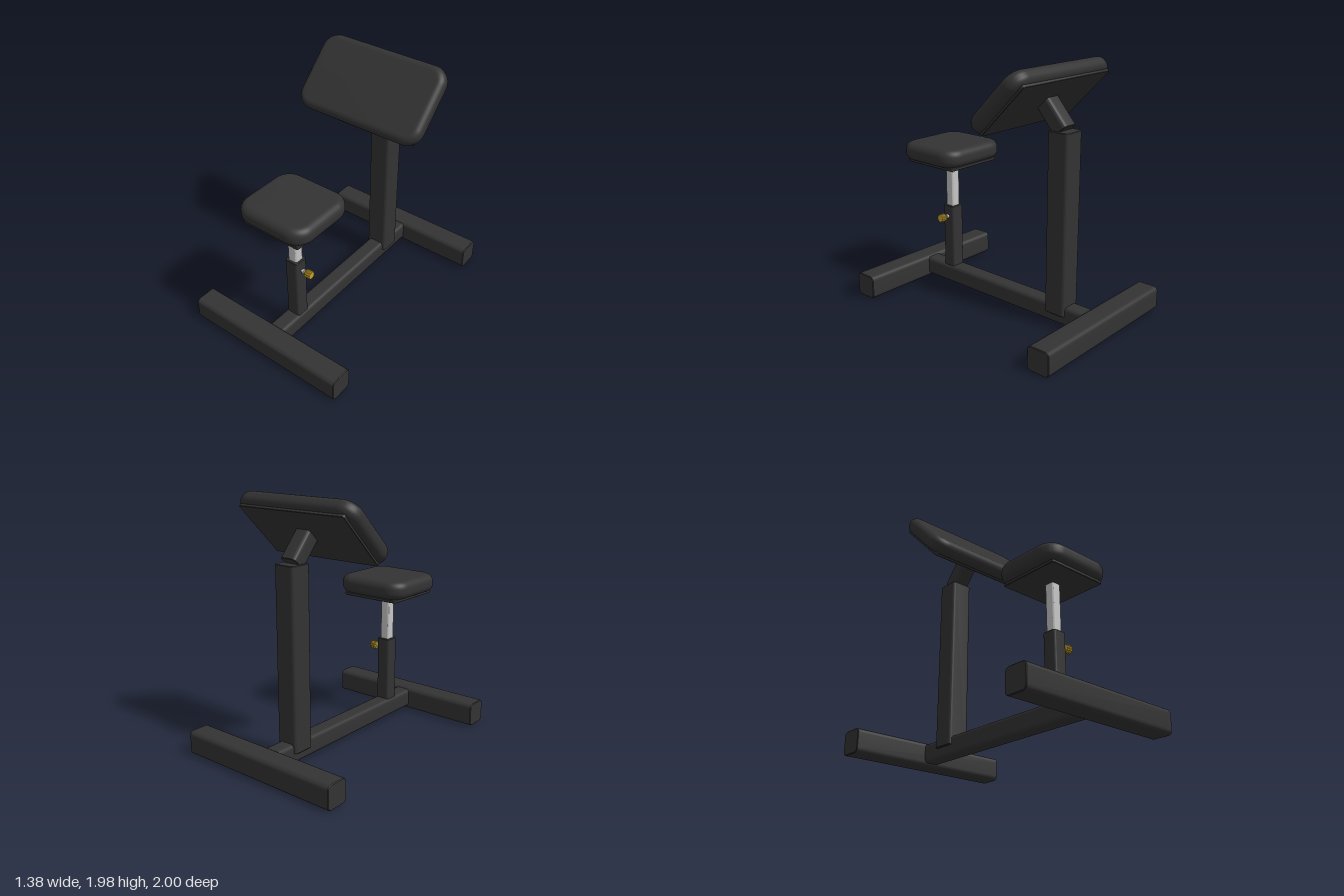
import * as THREE from 'three';
import { mergeVertices, toCreasedNormals } from 'three/addons/utils/BufferGeometryUtils.js';

const material = (name, color) => {
  const m = new THREE.MeshStandardMaterial({ color });
  m.name = name;
  return m;
};

// Rectangle with rounded corners, centred on the origin
function roundedRect(w, h, r) {
  const x = w / 2, y = h / 2, q = Math.PI / 2, s = new THREE.Shape();
  s.moveTo(-x + r, -y);
  s.lineTo(x - r, -y);
  s.absarc(x - r, -y + r, r, -q, 0);
  s.lineTo(x, y - r);
  s.absarc(x - r, y - r, r, 0, q);
  s.lineTo(-x + r, y);
  s.absarc(-x + r, y - r, r, q, 2 * q);
  s.lineTo(-x, -y + r);
  s.absarc(-x + r, -y + r, r, 2 * q, 3 * q);
  return s;
}

// Rounded bar or slab, w by h, running along z for length, with rounded end edges
function slab(w, h, length, corner, edge, edgeSegments = 1, curveSegments = 6) {
  let g = new THREE.ExtrudeGeometry(roundedRect(w, h, corner), {
    depth: length - 2 * edge, bevelEnabled: true, bevelThickness: edge,
    bevelSize: edge, bevelOffset: -edge, bevelSegments: edgeSegments, curveSegments,
  });
  g.translate(0, 0, edge - length / 2);
  g.deleteAttribute('uv');
  g.deleteAttribute('normal');
  g = mergeVertices(g, 1e-5);
  return toCreasedNormals(g, 0.6);
}

export function createModel() {
  const model = new THREE.Group();
  model.name = 'preacherCurlBench';
  const black = material('black', 0x333333);
  const steel = material('brightSteel', 0xc6c6c6);
  const brass = material('brass', 0xc9a227);

  const add = (name, geometry, mat, x, y, z, rx = 0, ry = 0, parent = model) => {
    const mesh = new THREE.Mesh(geometry, mat);
    mesh.name = name;
    mesh.position.set(x, y, z);
    mesh.rotation.set(rx, ry, 0);
    parent.add(mesh);
    return mesh;
  };
  const up = -Math.PI / 2;

  // Base: two cross feet joined by a spine
  const foot = slab(0.188, 0.188, 1.38, 0.035, 0.005);
  add('frontFoot', foot, black, 0, 0.094, 0.906, 0, Math.PI / 2);
  add('rearFoot', foot, black, 0, 0.094, -0.906, 0, Math.PI / 2);
  add('spine', slab(0.14, 0.15, 1.7, 0.03, 0.004), black, 0, 0.1, 0);

  // Seat column: outer sleeve and sliding steel tube
  const seatZ = 0.572;
  add('seatSleeve', slab(0.115, 0.115, 0.56, 0.018, 0.004), black, 0, 0.42, seatZ, up);
  add('seatTube', slab(0.08, 0.08, 0.49, 0.014, 0.002), steel, 0, 0.84, seatZ, up);
  add('seatPlate', slab(0.505, 0.505, 0.024, 0.015, 0.003), black, 0, 1.09, seatZ, up);
  add('seatPad', slab(0.622, 0.586, 0.145, 0.14, 0.06, 8, 10), black, 0, 1.173, seatZ, up);

  // Height-adjusting pin with a ribbed knob on the model's left
  const pin = new THREE.Group();
  pin.name = 'adjustingPin';
  pin.position.set(0, 0.61, seatZ);
  pin.rotation.z = -Math.PI / 2;
  model.add(pin);
  add('pinShaft', new THREE.CylinderGeometry(0.012, 0.012, 0.07, 16), steel, 0, 0.075, 0, 0, 0, pin);
  add('pinCollar', new THREE.CylinderGeometry(0.02, 0.02, 0.016, 16), steel, 0, 0.076, 0, 0, 0, pin);
  const ribbed = new THREE.Shape();
  for (let i = 0; i < 24; i++) {
    const a = (i / 24) * Math.PI * 2, r = i % 2 ? 0.029 : 0.033;
    ribbed[i ? 'lineTo' : 'moveTo'](r * Math.cos(a), r * Math.sin(a));
  }
  const knob = new THREE.ExtrudeGeometry(ribbed, {
    depth: 0.043, bevelThickness: 0.006, bevelSize: 0.006, bevelOffset: -0.006, bevelSegments: 2,
  });
  add('pinKnob', knob, brass, 0, 0.106, 0, up, 0, pin);

  // Rear upright and the arm that leans forward from it
  add('upright', slab(0.18, 0.18, 1.4, 0.025, 0.004), black, 0, 0.803, -0.57, up);
  add('padArm', slab(0.14, 0.135, 0.25, 0.03, 0.004), black, 0, 1.595, -0.49, -0.855);

  // Sloping arm rest, stacked along its own normal
  const rest = new THREE.Group();
  rest.name = 'armRest';
  rest.position.set(0, 1.735, -0.353);
  rest.rotation.x = -Math.PI / 4;
  model.add(rest);
  add('armRestPlate', slab(0.98, 0.545, 0.026, 0.015, 0.003), black, 0, 0, -0.067, 0, 0, rest);
  add('armRestPad', slab(1.1, 0.62, 0.125, 0.13, 0.055, 8, 10), black, 0, 0, 0, 0, 0, rest);

  return model;
}
